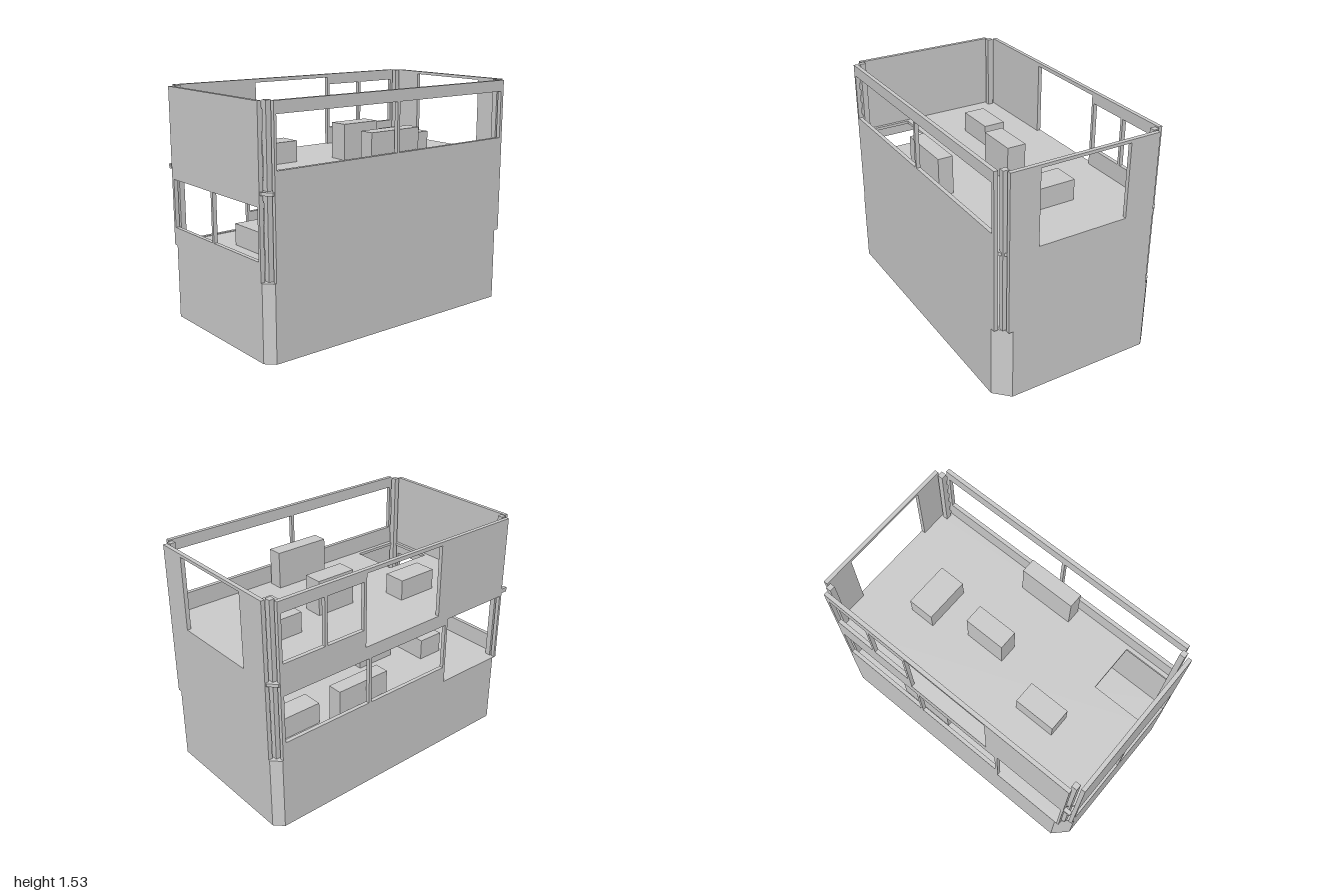
import * as THREE from 'three';

// Key dimensions
const W = 0.57, D = 1, T = 0.027;
const FLOOR1 = 0.49, FLOOR2 = 1.02, TOP = 1.53;

const plaster = new THREE.MeshStandardMaterial({ color: 0xcccccc });
plaster.name = 'plaster grey';

function add(parent, name, geometry) {
  const mesh = new THREE.Mesh(geometry, plaster);
  mesh.name = name;
  parent.add(mesh);
  return mesh;
}

function rectPath(Type, [x0, x1, y0, y1]) {
  const p = new Type();
  p.moveTo(x0, y0);
  p.lineTo(x1, y0);
  p.lineTo(x1, y1);
  p.lineTo(x0, y1);
  p.closePath();
  return p;
}

// Box from its limits on each axis
function block(parent, name, x0, x1, y0, y1, z0, z1) {
  const mesh = add(parent, name, new THREE.BoxGeometry(x1 - x0, y1 - y0, z1 - z0));
  mesh.position.set((x0 + x1) / 2, (y0 + y1) / 2, (z0 + z1) / 2);
  return mesh;
}

// Horizontal plate with cut corners: large at two opposite corners, small at the others
function plate(parent, name, y0, y1, inset, holes = []) {
  const w = W - inset, d = D - inset;
  const big = 0.095 - 2 * inset, small = 0.055 - 2 * inset;
  const points = [
    [-w + big, -d], [w - small, -d], [w, -d + small], [w, d - big],
    [w - big, d], [-w + small, d], [-w, d - small], [-w, -d + big],
  ];
  const shape = new THREE.Shape(points.map(([x, y]) => new THREE.Vector2(x, y)));
  holes.forEach(([x0, x1, z0, z1]) => shape.holes.push(rectPath(THREE.Path, [x0, x1, -z1, -z0])));
  const geo = new THREE.ExtrudeGeometry(shape, { depth: y1 - y0, bevelEnabled: false });
  geo.rotateX(-Math.PI / 2);
  add(parent, name, geo).position.y = y0;
}

// Wall across x with openings [x0, x1, y0, y1]
function crossWall(parent, name, z, top, openings) {
  const shape = rectPath(THREE.Shape, [-0.507, 0.505, FLOOR1, top]);
  openings.forEach(o => shape.holes.push(rectPath(THREE.Path, o)));
  const geo = new THREE.ExtrudeGeometry(shape, { depth: T, bevelEnabled: false });
  add(parent, name, geo).position.z = z;
}

// Wall along z with openings [z0, z1, y0, y1]
function sideWall(parent, name, x, openings) {
  const shape = rectPath(THREE.Shape, [-0.937, 0.94, FLOOR1, TOP]);
  openings.forEach(([z0, z1, y0, y1]) => shape.holes.push(rectPath(THREE.Path, [-z1, -z0, y0, y1])));
  const geo = new THREE.ExtrudeGeometry(shape, { depth: T, bevelEnabled: false });
  geo.rotateY(Math.PI / 2);
  add(parent, name, geo).position.x = x;
}

export function createModel() {
  const house = new THREE.Group();
  house.name = 'house';

  // Solid ground storey and the upper floor with its stairwell
  plate(house, 'base', 0, FLOOR1, 0);
  plate(house, 'upperFloor', 1.0, FLOOR2, 0.004, [[0.18, 0.515, 0.6, 0.95]]);

  // Outer walls
  const walls = new THREE.Group();
  walls.name = 'walls';
  house.add(walls);
  crossWall(walls, 'frontWall', D - T, 1.527, [
    [-0.485, -0.025, 0.61, 0.93], [-0.005, 0.485, 0.61, 0.93],
  ]);
  crossWall(walls, 'backWall', -D, TOP, [[-0.3, 0.31, FLOOR2, 1.51]]);
  sideWall(walls, 'leftWall', W - T, [
    [0.025, 0.92, 1.14, 1.455], [-0.917, 0.005, 1.14, 1.455],
  ]);
  sideWall(walls, 'rightWall', -W, [
    // upper storey: balcony door and two windows
    [-0.3, 0.32, FLOOR2, 1.505],
    [-0.595, -0.32, 1.14, 1.455], [-0.917, -0.615, 1.14, 1.455],
    // lower storey: door and two windows
    [0.41, 0.92, 0.495, 0.97],
    [-0.25, 0.39, 0.61, 0.93], [-0.917, -0.27, 0.61, 0.93],
  ]);

  // Square corner posts
  for (const x of [-0.51, 0.506]) {
    for (const z of [-0.943, 0.94]) {
      block(house, 'cornerPost', x - 0.019, x + 0.019, FLOOR1, TOP, z - 0.018, z + 0.018);
    }
  }
  // Small ledge at one corner
  block(house, 'cornerLedge', -W, -W + T, 0.99, FLOOR2, 0.93, 0.985);

  // Furniture: name, x range, z range, height
  const furnish = (name, floor, items) => {
    const group = new THREE.Group();
    group.name = name;
    house.add(group);
    for (const [part, x0, x1, z0, z1, h] of items) {
      block(group, part, x0, x1, floor, floor + h, z0, z1);
    }
  };
  furnish('upperFurniture', FLOOR2, [
    ['bench', -0.17, 0.14, -0.655, -0.475, 0.14],
    ['table', -0.07, 0.06, -0.255, 0.03, 0.24],
    ['cabinet', 0.42, 0.52, -0.2, 0.19, 0.255],
    ['bench', -0.25, -0.1, 0.3, 0.585, 0.14],
  ]);
  furnish('lowerFurniture', FLOOR1, [
    ['bench', -0.25, 0.06, 0.51, 0.695, 0.145],
    ['table', -0.07, 0.06, 0.1, 0.39, 0.24],
    ['cabinet', -0.52, -0.42, -0.465, -0.075, 0.255],
    ['bench', -0.4, -0.26, -0.815, -0.53, 0.145],
    ['cabinet', -0.195, 0.19, -0.96, -0.86, 0.255],
  ]);

  return house;
}
